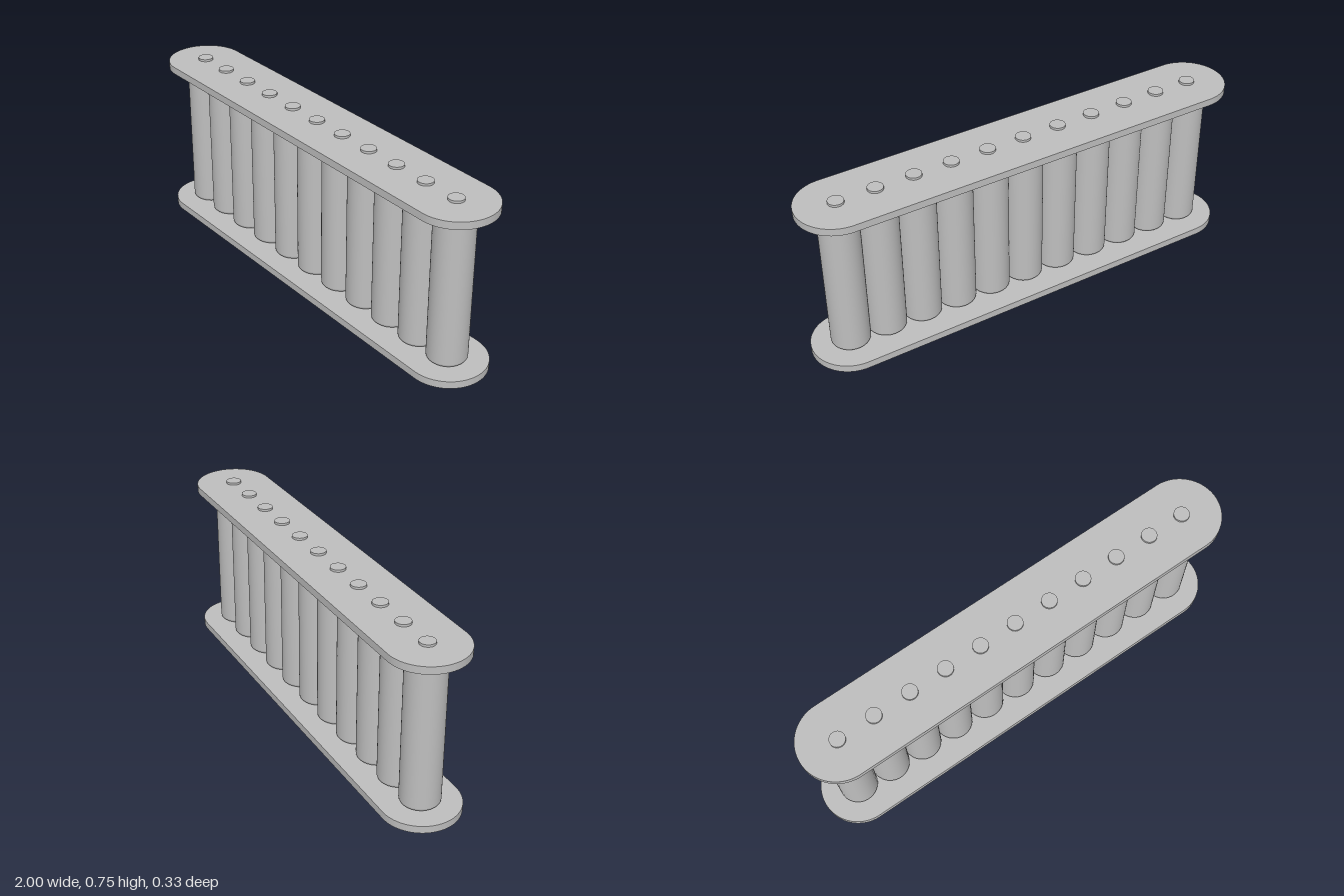
import * as THREE from 'three';
import { toCreasedNormals } from 'three/addons/utils/BufferGeometryUtils.js';

const COUNT = 11;
const PITCH = 1 / 6;
const PLATE_R = 1 / 6;
const PLATE_T = 0.032;
const LOW = 0.01;        // underside of the lower plate
const HEIGHT = 0.752;    // full pin length
const END_X = PITCH * (COUNT - 1) / 2;

// Flat bar with fully rounded ends, lying in the xz plane
function plateGeometry() {
  const s = new THREE.Shape();
  s.absarc(END_X, 0, PLATE_R, -Math.PI / 2, Math.PI / 2, false);
  s.absarc(-END_X, 0, PLATE_R, Math.PI / 2, Math.PI * 1.5, false);
  s.closePath();
  const g = new THREE.ExtrudeGeometry(s, { depth: PLATE_T, bevelEnabled: false, curveSegments: 32 });
  g.rotateX(-Math.PI / 2);
  return toCreasedNormals(g, 0.6);
}

// Roller with filleted rims, spanning between the plates
function rollerGeometry() {
  const r = PITCH / 2, f = 0.017;
  const y0 = LOW + PLATE_T, y1 = HEIGHT - y0;
  const pts = [new THREE.Vector2(0, y0)];
  for (let i = 0; i <= 5; i++) {
    const a = (i / 5) * Math.PI / 2;
    pts.push(new THREE.Vector2(r - f + f * Math.sin(a), y0 + f - f * Math.cos(a)));
  }
  for (let i = 0; i <= 5; i++) {
    const a = (i / 5) * Math.PI / 2;
    pts.push(new THREE.Vector2(r - f + f * Math.cos(a), y1 - f + f * Math.sin(a)));
  }
  pts.push(new THREE.Vector2(0, y1));
  return new THREE.LatheGeometry(pts, 48);
}

export function createModel() {
  const group = new THREE.Group();
  group.name = 'rollerTrack';
  const steel = new THREE.MeshStandardMaterial({ color: 0xbfbfbf });
  steel.name = 'steelGrey';

  const add = (name, geometry, x, y) => {
    const mesh = new THREE.Mesh(geometry, steel);
    mesh.name = name;
    mesh.position.set(x, y, 0);
    group.add(mesh);
  };

  // Side plates
  const plate = plateGeometry();
  add('lowerPlate', plate, 0, LOW);
  add('upperPlate', plate, 0, HEIGHT - LOW - PLATE_T);

  // Rollers with pins whose ends stand proud of the plates
  const roller = rollerGeometry();
  const pin = new THREE.CylinderGeometry(0.033, 0.033, HEIGHT, 32);
  for (let i = 0; i < COUNT; i++) {
    const x = i * PITCH - END_X;
    add(`roller${i + 1}`, roller, x, 0);
    add(`pin${i + 1}`, pin, x, HEIGHT / 2);
  }
  return group;
}
